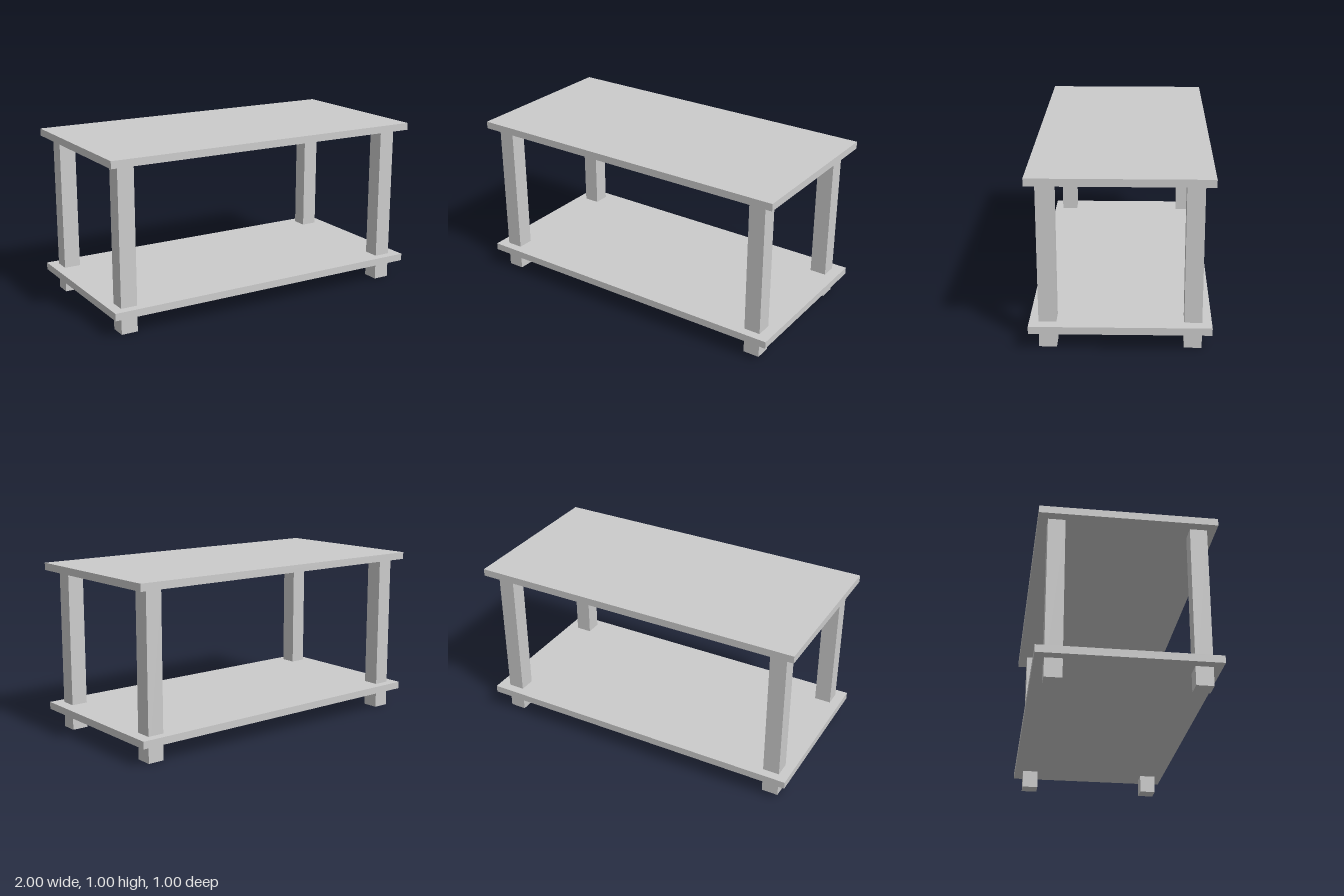
import * as THREE from 'three';

export function createModel() {
  const table = new THREE.Group();
  table.name = 'table';
  const material = new THREE.MeshStandardMaterial({ color: 0xcccccc });

  // Box resting on height y0 and reaching y1
  function addBox(name, width, depth, y0, y1, x = 0, z = 0) {
    const mesh = new THREE.Mesh(new THREE.BoxGeometry(width, y1 - y0, depth), material);
    mesh.name = name;
    mesh.position.set(x, (y0 + y1) / 2, z);
    table.add(mesh);
  }

  // Table top and lower shelf
  const topBottom = 0.957;
  addBox('tableTop', 2, 1, topBottom, 1);
  addBox('lowerShelf', 2, 1, 0.11, 0.153);

  // Four square legs running through the shelf, the left pair set slightly further in
  const legSize = 0.098;
  for (const [side, x] of [['Right', -0.893], ['Left', 0.883]]) {
    for (const [end, z] of [['front', 0.399], ['back', -0.398]]) {
      addBox(`${end}${side}Leg`, legSize, legSize, 0, topBottom, x, z);
    }
  }

  return table;
}
